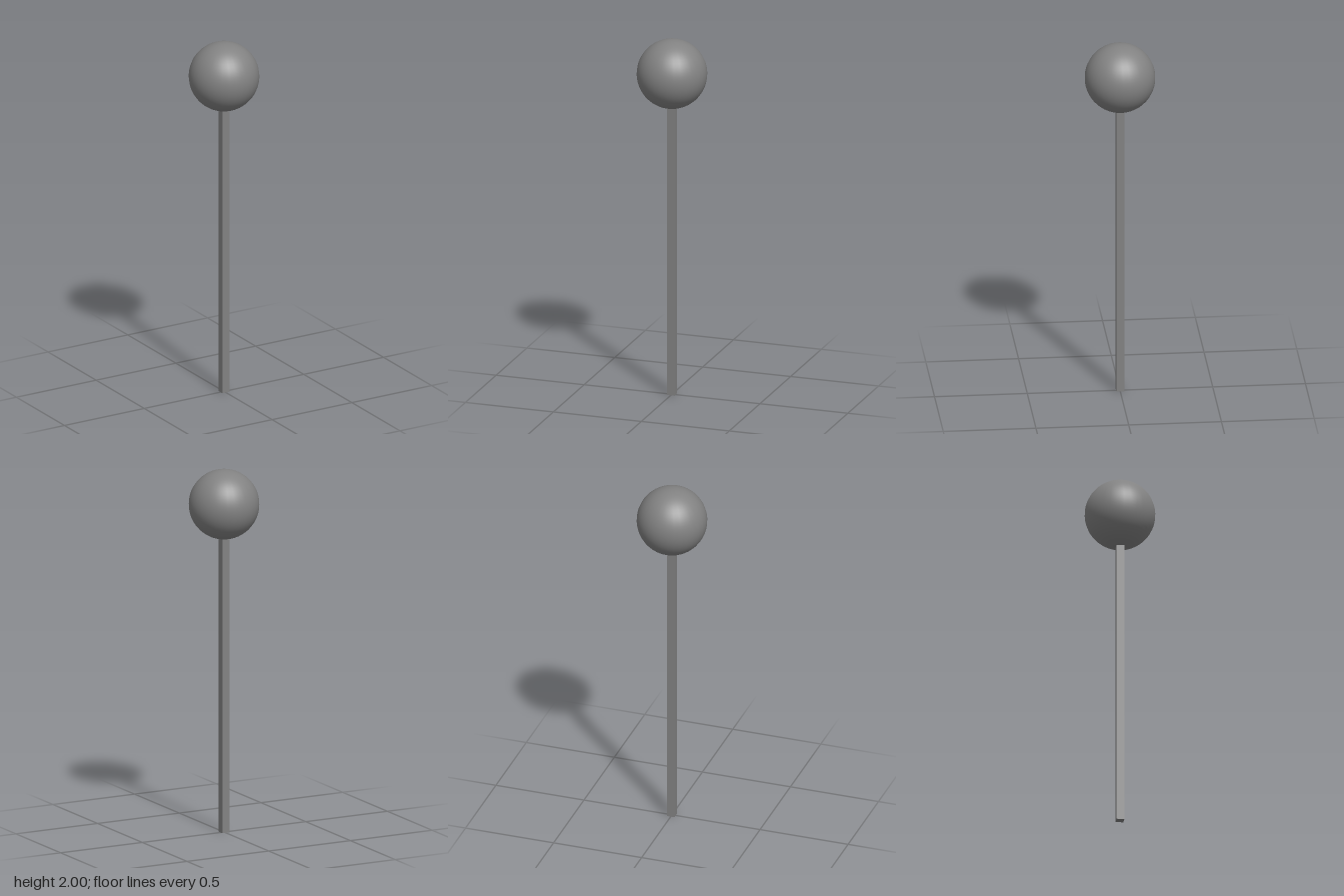
import * as THREE from 'three';

export function createModel() {
  const group = new THREE.Group();
  const material = new THREE.MeshStandardMaterial({ color: 0x828282 });
  const radius = 0.19;
  const postWidth = 0.042;
  const postHeight = 1.63; // ends just inside the ball

  // Square post standing on the ground
  const post = new THREE.Mesh(new THREE.BoxGeometry(postWidth, postHeight, postWidth), material);
  post.name = 'post';
  post.position.y = postHeight / 2;

  // Smooth ball resting on the post
  const ball = new THREE.Mesh(new THREE.SphereGeometry(radius, 32, 32), material);
  ball.name = 'ball';
  ball.position.y = 2 - radius;

  group.add(post, ball);
  return group;
}
